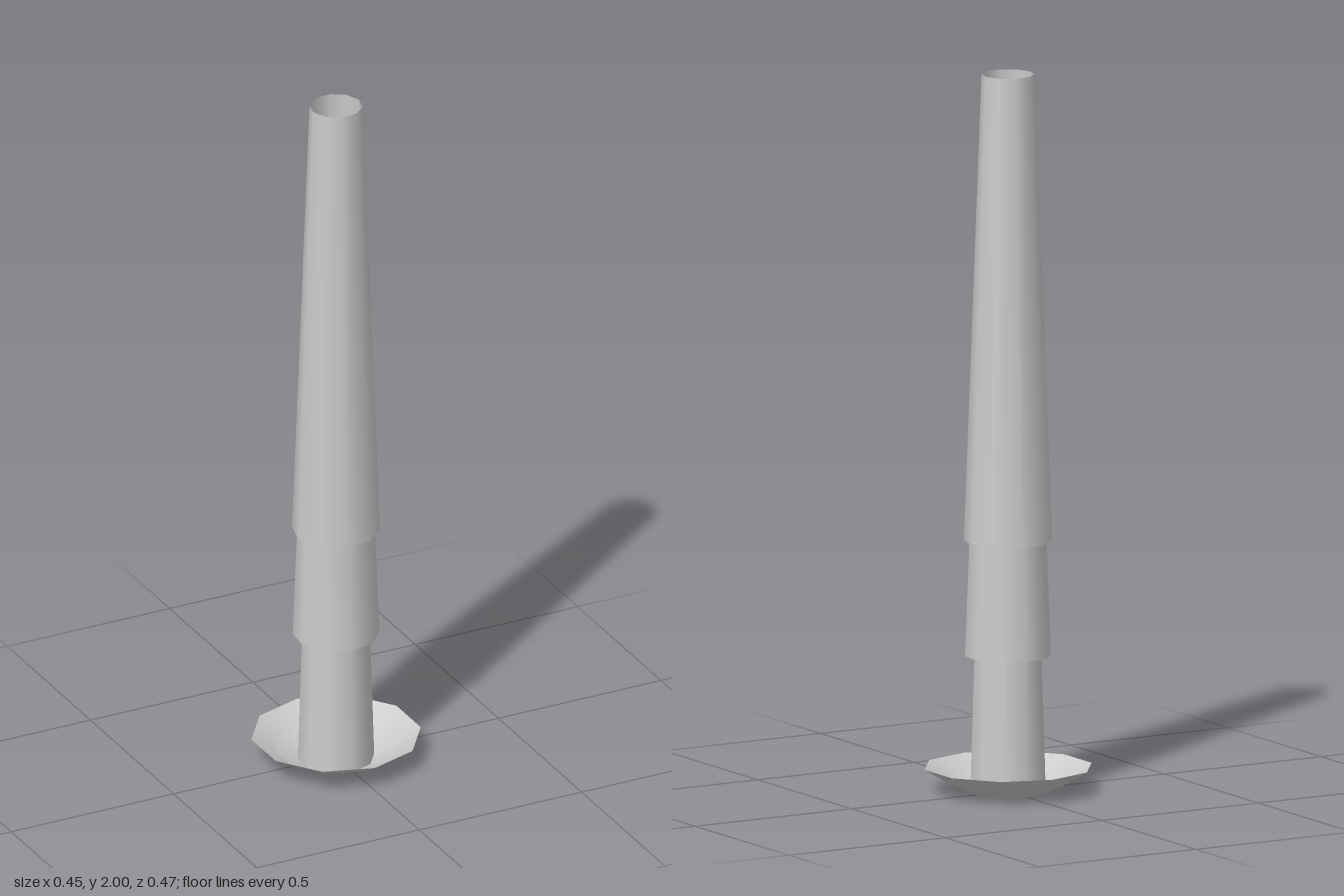
import * as THREE from 'three';

const SIDES = 10;

export function createModel() {
  const model = new THREE.Group();
  const material = new THREE.MeshStandardMaterial({ color: 0xcccccc, side: THREE.DoubleSide });

  const add = (name, geometry, parent = model) => {
    const mesh = new THREE.Mesh(geometry, material);
    mesh.name = name;
    parent.add(mesh);
    return mesh;
  };

  // Open tapered tube between two heights, turned about its axis
  const tube = (name, y0, r0, y1, r1, turn = 0, parent = model) => {
    const mesh = add(name, new THREE.CylinderGeometry(r1, r0, y1 - y0, SIDES, 1, true), parent);
    mesh.position.y = (y0 + y1) / 2;
    mesh.rotation.y = THREE.MathUtils.degToRad(turn);
    return mesh;
  };

  // Three nested telescoping sections
  tube('innerTube', 0, 0.106, 1.3, 0.066);
  tube('middleTube', 0.38, 0.119, 1.68, 0.07, -5);
  tube('outerTube', 0.7, 0.121, 2, 0.073, 22);

  // Shallow dish around the foot: gentle inner slope, steeper rim
  const dish = new THREE.Group();
  dish.name = 'dish';
  model.add(dish);
  tube('dishFloor', 0, 0.106, 0.03, 0.168, 0, dish);
  tube('dishRim', 0.03, 0.168, 0.07, 0.235, 0, dish);

  // Recessed end plate with a central hole
  const plate = add('endPlate', new THREE.RingGeometry(0.033, 0.105, SIDES, 1, Math.PI / 2));
  plate.rotation.x = -Math.PI / 2;
  plate.position.y = 0.015;

  return model;
}
